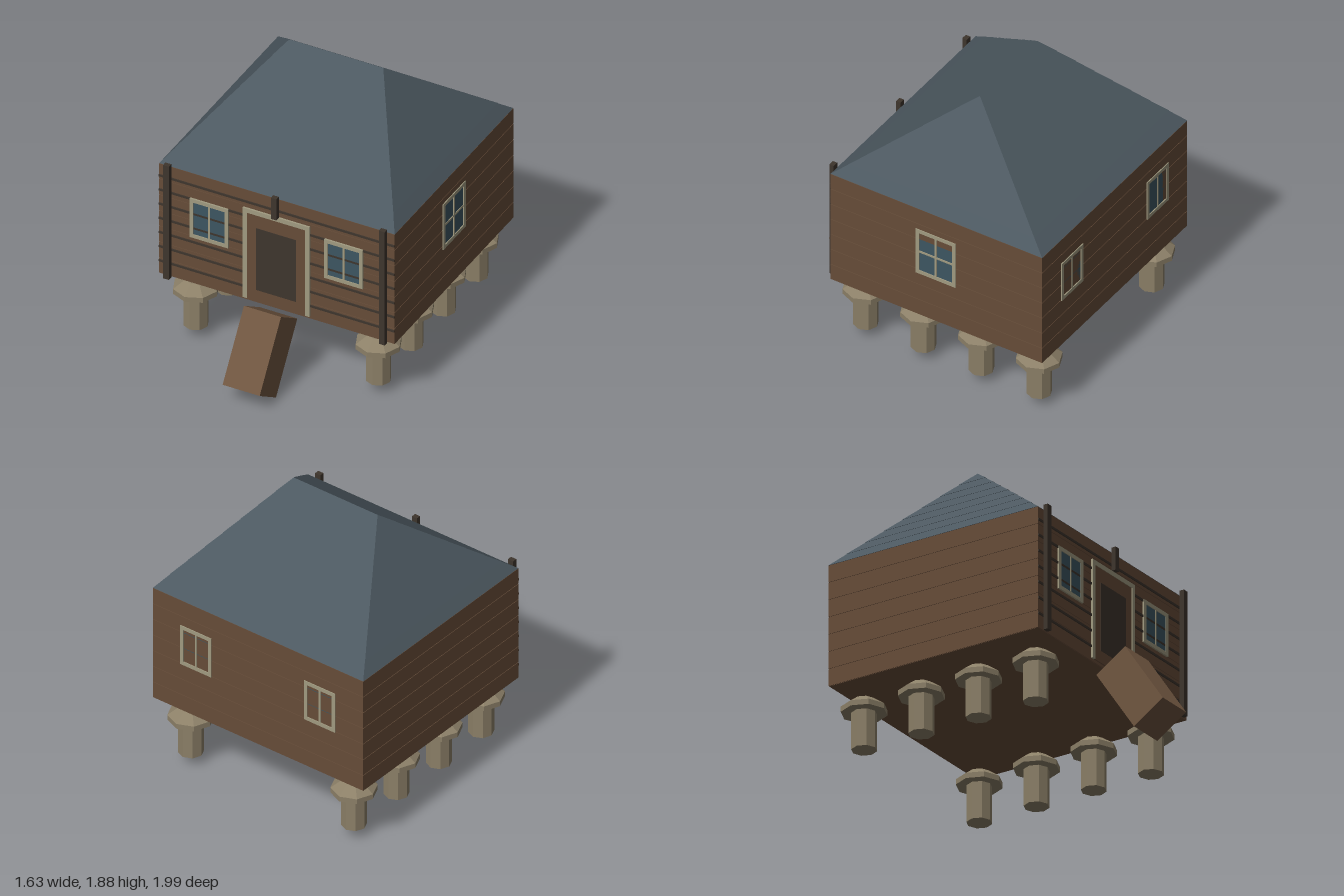
import * as THREE from 'three';

const mat = (color) => new THREE.MeshStandardMaterial({ color, flatShading: true });

export function createModel() {
  const root = new THREE.Group();
  root.name = 'stiltCabin';
  const wood = mat(0x664c38), plank = mat(0x705640), dark = mat(0x3e352d), slate = mat(0x4c5860);
  const trim = mat(0xa09a80), glass = mat(0x3c5561), stone = mat(0x8c8068);

  // House extents
  const X0 = -0.815, X1 = 0.805, Z0 = -0.987, Z1 = 0.543, Y0 = 0.47, Y1 = 1.28;
  const cx = (X0 + X1) / 2, cz = (Z0 + Z1) / 2, W = X1 - X0, D = Z1 - Z0;

  const add = (parent, name, geo, material, x = 0, y = 0, z = 0) => {
    const m = new THREE.Mesh(geo, material);
    m.name = name;
    m.position.set(x, y, z);
    parent.add(m);
    return m;
  };
  const box = (parent, name, material, w, h, d, x, y, z) =>
    add(parent, name, new THREE.BoxGeometry(w, h, d), material, x, y, z);

  // Walls: a core with planks separated by fine grooves
  const walls = new THREE.Group();
  walls.name = 'walls';
  root.add(walls);
  box(walls, 'wallCore', wood, W - 0.008, Y1 - Y0, D - 0.008, cx, (Y0 + Y1) / 2, cz);
  const rows = 7, pitch = (Y1 - Y0) / rows;
  for (let i = 0; i < rows; i++) {
    box(walls, 'wallPlank', wood, W, pitch - 0.004, D, cx, Y0 + (i + 0.5) * pitch, cz);
  }

  // Dark battens across the front
  for (let i = 0; i < 7; i++) {
    box(walls, 'frontBatten', dark, W, 0.014, 0.008, cx, 0.567 + i * 0.1045, Z1 + 0.003);
  }

  // Hipped roof: courses that shrink toward the ridge, each with a slight lip
  const ridgeY = 1.885, ridgeHalf = 0.323, courses = 8;
  const ring = (t, lip) => {
    const hx = THREE.MathUtils.lerp(W / 2, ridgeHalf, t) + lip;
    const hz = (D / 2) * (1 - t) + lip;
    const y = THREE.MathUtils.lerp(Y1, ridgeY, t);
    return [[-hx, y, hz], [hx, y, hz], [hx, y, -hz], [-hx, y, -hz]];
  };
  const pos = [];
  const quad = (a, b, c, d) => pos.push(...a, ...b, ...c, ...a, ...c, ...d);
  for (let i = 0; i < courses; i++) {
    const low = ring(i / courses, i ? 0.003 : 0), high = ring((i + 1) / courses, 0);
    const under = ring(i / courses, 0);
    for (let k = 0; k < 4; k++) {
      const n = (k + 1) % 4;
      quad(low[k], low[n], high[n], high[k]);
      if (i) quad(under[k], under[n], low[n], low[k]);
    }
  }
  const roofGeo = new THREE.BufferGeometry();
  roofGeo.setAttribute('position', new THREE.Float32BufferAttribute(pos, 3));
  roofGeo.computeVertexNormals();
  slate.side = THREE.DoubleSide;
  add(root, 'roof', roofGeo, slate, cx, 0, cz);

  // Rectangular frame with an opening, facing +z
  const frameGeo = (w, h, bar, depth) => {
    const rect = (P, a, b) => new P([
      new THREE.Vector2(-a, -b), new THREE.Vector2(a, -b), new THREE.Vector2(a, b), new THREE.Vector2(-a, b)]);
    const s = rect(THREE.Shape, w / 2, h / 2);
    s.holes.push(rect(THREE.Path, w / 2 - bar, h / 2 - bar));
    return new THREE.ExtrudeGeometry(s, { depth, bevelEnabled: false });
  };

  const windowUnit = (name, w, h, cross, x, y, z, turn) => {
    const g = new THREE.Group();
    g.name = name;
    g.position.set(x, y, z);
    g.rotation.y = turn;
    add(g, 'windowFrame', frameGeo(w, h, 0.025, 0.012), trim);
    box(g, 'windowGlass', glass, w - 0.04, h - 0.04, 0.012, 0, 0, 0);
    box(g, 'verticalBar', trim, 0.014, h - 0.04, 0.01, 0, 0, 0.005);
    if (cross) box(g, 'horizontalBar', trim, w - 0.04, 0.014, 0.01, 0, 0, 0.005);
    root.add(g);
  };
  for (const s of [-1, 1]) {
    windowUnit('frontWindow', 0.265, 0.285, false, cx + s * 0.463, 0.955, Z1, 0);
    windowUnit('backWindow', 0.24, 0.285, false, cx + s * 0.477, 0.955, Z0 + 0.006, Math.PI);
  }
  windowUnit('sideWindow', 0.29, 0.335, true, X1 - 0.006, 0.957, cz + 0.003, Math.PI / 2);

  // Door with surround and dark panel
  const door = new THREE.Group();
  door.name = 'door';
  root.add(door);
  box(door, 'doorLeaf', wood, 0.42, 0.64, 0.01, cx, 0.81, Z1 + 0.004);
  box(door, 'doorPanel', dark, 0.275, 0.455, 0.008, cx - 0.002, 0.797, Z1 + 0.007);
  // three-sided surround
  for (const s of [-1, 1]) box(door, 'doorJamb', trim, 0.03, 0.66, 0.014, cx + s * 0.215, 0.82, Z1 + 0.006);
  box(door, 'doorLintel', trim, 0.46, 0.03, 0.014, cx, 1.135, Z1 + 0.006);

  // Front posts, with a short one above the door
  for (const s of [-1, 1]) box(root, 'frontPost', dark, 0.04, 0.835, 0.032, cx + s * 0.7425, 0.8875, 0.567);
  box(root, 'shortPost', dark, 0.038, 0.155, 0.032, cx - 0.002, 1.2275, 0.567);

  // Tilted step block
  const step = box(root, 'step', plank, 0.255, 0.498, 0.252, -0.0075, 0.282, 0.757);
  step.rotation.x = -0.585;

  // Two rows of capped stilts
  const capProfile = [[0, 0.32], [0.145, 0.32], [0.145, 0.355], [0.068, 0.41], [0, 0.41]]
    .map(([r, y]) => new THREE.Vector2(r, y));
  const capGeo = new THREE.LatheGeometry(capProfile, 8);
  const shaftGeo = new THREE.CylinderGeometry(0.08, 0.08, 0.25, 8);
  for (const s of [-1, 1]) {
    for (let i = 0; i < 4; i++) {
      const stilt = new THREE.Group();
      stilt.name = 'stilt';
      stilt.position.set(cx - 0.002 + s * 0.628, 0, 0.407 - i * 0.418);
      add(stilt, 'stiltShaft', shaftGeo, stone, 0, 0.2, 0);
      add(stilt, 'stiltCap', capGeo, stone);
      root.add(stilt);
    }
  }
  return root;
}
